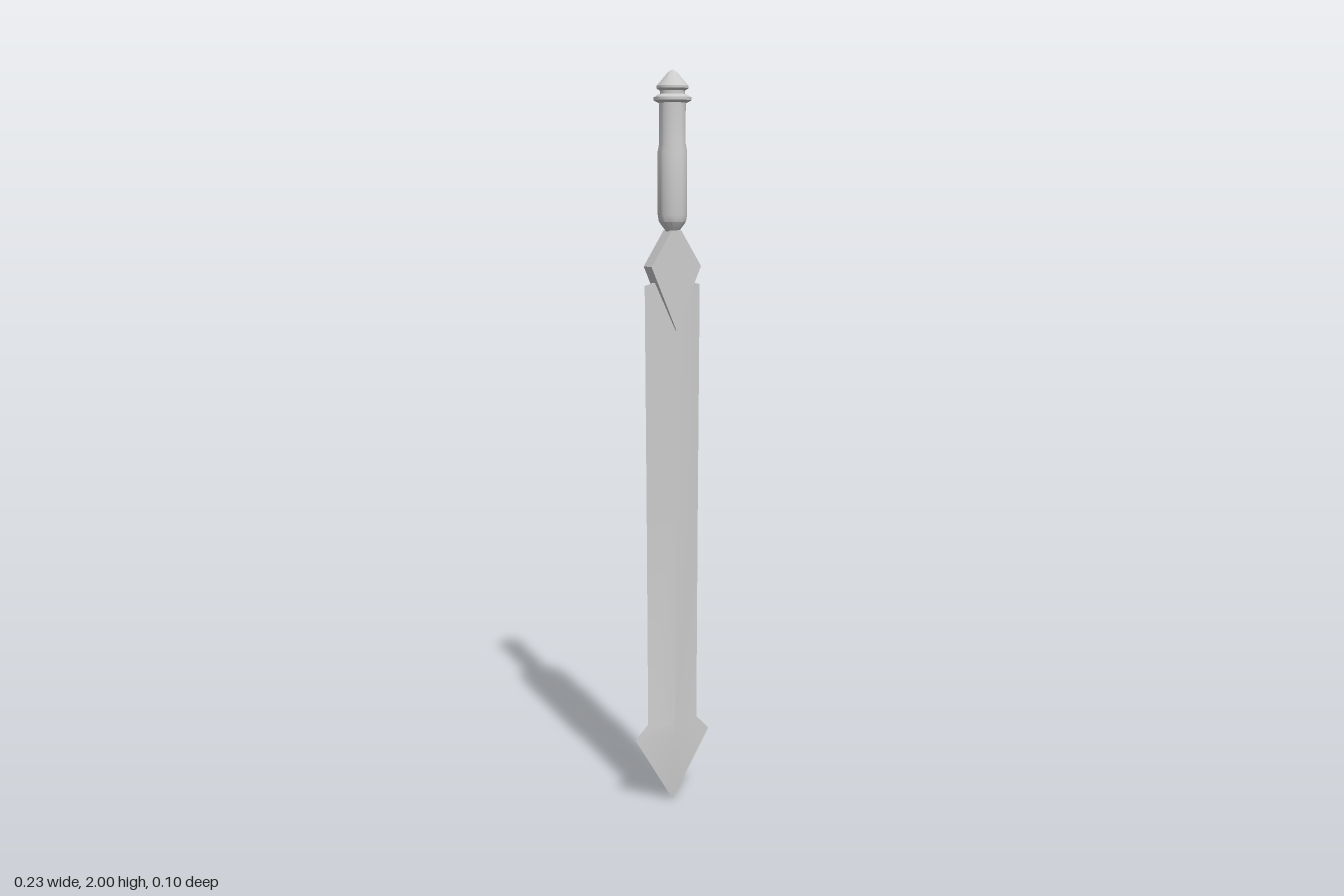
import * as THREE from 'three';
import { toCreasedNormals } from 'three/addons/utils/BufferGeometryUtils.js';

const material = new THREE.MeshStandardMaterial({ color: 0xcccccc, side: THREE.DoubleSide });

function addPart(group, name, geometry) {
  const mesh = new THREE.Mesh(geometry, material);
  mesh.name = name;
  group.add(mesh);
}

// Diamond cross-sections, top to bottom: [edge y, ridge y, half width, half thickness]
function bladeGeometry() {
  const rows = [
    [1.44, 1.46, 0.083, 0.018],
    [0.86, 0.86, 0.079, 0.018],
    [0.23, 0.23, 0.076, 0.018],
    [0.19, 0.19, 0.115, 0.0165],
    [0, 0, 0, 0],
  ];
  const positions = [];
  const index = [0, 1, 2, 0, 2, 3];
  rows.forEach(([edgeY, ridgeY, w, t], i) => {
    positions.push(0, ridgeY, t, w, edgeY, 0, 0, ridgeY, -t, -w, edgeY, 0);
    if (i === rows.length - 1) return;
    for (let j = 0; j < 4; j++) {
      const a = i * 4 + j, d = i * 4 + (j + 1) % 4;
      index.push(a, a + 4, d);
      if (i < rows.length - 2) index.push(a + 4, d + 4, d);
    }
  });
  const geometry = new THREE.BufferGeometry();
  geometry.setAttribute('position', new THREE.Float32BufferAttribute(positions, 3));
  geometry.setIndex(index);
  return toCreasedNormals(geometry, 0.5);
}

// Kite-shaped plate gripping the top of the blade
function guardGeometry() {
  const outline = [[0, 1.32], [0.074, 1.49], [0.014, 1.585], [-0.014, 1.585], [-0.074, 1.49]];
  const shape = new THREE.Shape(outline.map(([x, y]) => new THREE.Vector2(x, y)));
  const depth = 0.046;
  return new THREE.ExtrudeGeometry(shape, { depth, bevelEnabled: false }).translate(0, 0, -depth / 2);
}

function turned(profile) {
  const points = profile.map(([r, y]) => new THREE.Vector2(r, y));
  return toCreasedNormals(new THREE.LatheGeometry(points, 32), 0.5);
}

export function createModel() {
  const sword = new THREE.Group();
  sword.name = 'sword';

  addPart(sword, 'blade', bladeGeometry());
  addPart(sword, 'guard', guardGeometry());

  // Round grip, slimmer in its upper half
  addPart(sword, 'grip', turned([
    [0, 1.58], [0.016, 1.58], [0.036, 1.607], [0.039, 1.625], [0.039, 1.79], [0.035, 1.81], [0.035, 1.92], [0, 1.92],
  ]));

  // Collar ring under the pommel
  addPart(sword, 'collar', turned([
    [0, 1.915], [0.038, 1.915], [0.05, 1.921], [0.05, 1.929], [0.036, 1.937], [0, 1.937],
  ]));

  // Pointed pommel on a short neck
  addPart(sword, 'pommel', turned([
    [0.033, 1.93], [0.033, 1.946], [0.042, 1.952], [0.042, 1.958], [0.012, 1.993], [0, 2],
  ]));

  return sword;
}
